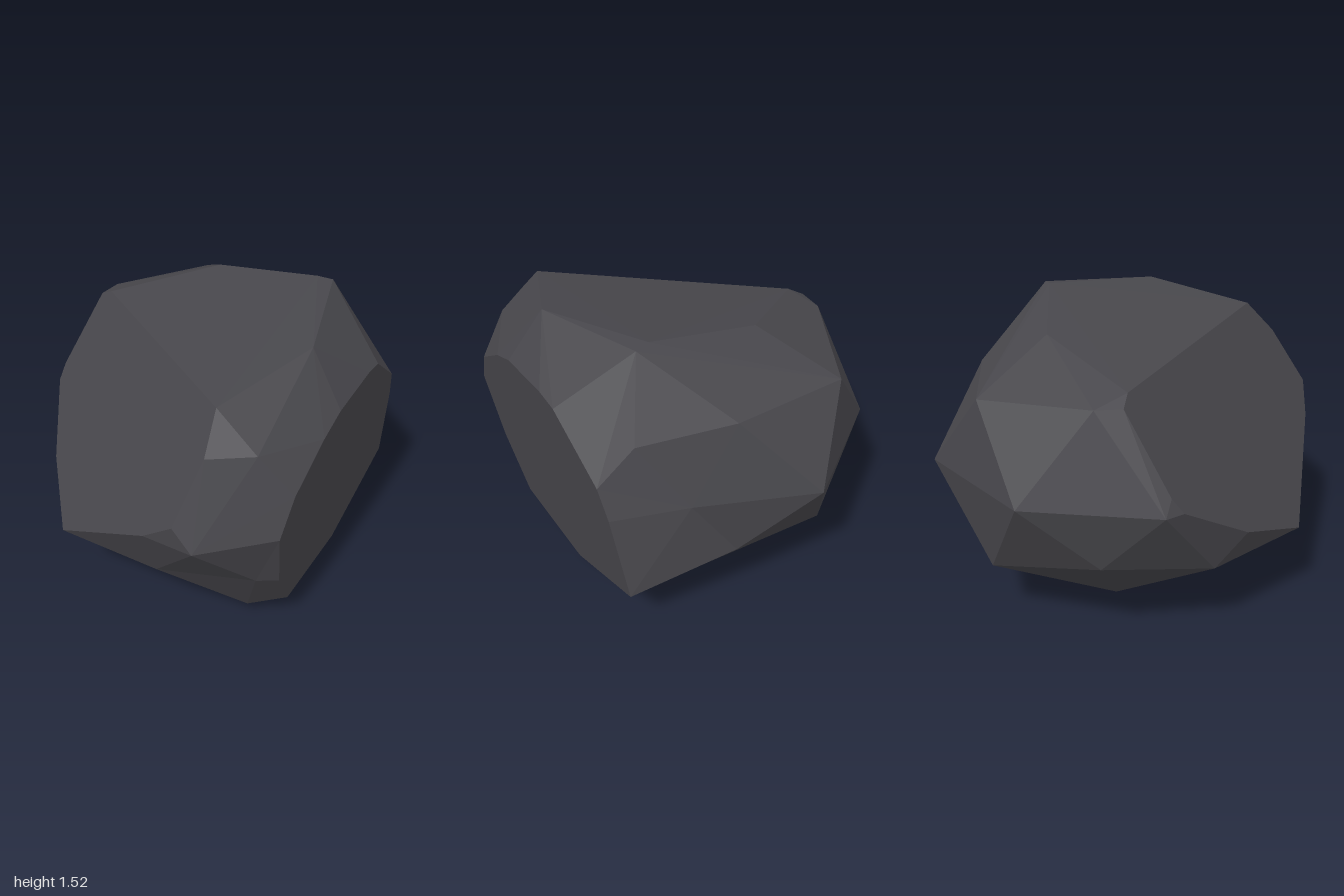
import * as THREE from 'three';
import { ConvexGeometry } from 'three/addons/geometries/ConvexGeometry.js';

const CENTRE = new THREE.Vector3(0, 0.8, 0.11);

export function createModel() {
  const stone = new THREE.MeshStandardMaterial({ color: 0x48474c, flatShading: true });
  stone.name = 'charcoal stone';

  // Broad chipped face at the front: outline in x, y; z follows its plane
  const frontChip = [
    [-0.2, 0.81], [-0.11, 1.0], [0.1, 1.16], [0.23, 1.22], [0.5, 1.24], [0.6, 1.22], [0.85, 0.97],
    [0.89, 0.81], [0.93, 0.36], [0.45, 0.13], [-0.01, 0.17], [-0.14, 0.46],
  ].map(([x, y]) => [x, y, 1 - 0.714 * (x + 0.2) + 0.14 * (y - 0.81)]);

  // Sloped chipped face on the -x side: outline in x, z; y follows its plane
  const sideChip = [
    [-0.62, -0.69], [-0.38, -0.69], [-0.355, -0.61], [-0.36, 0.69], [-0.47, 0.8], [-0.65, 0.85],
    [-0.73, 0.7], [-0.81, 0.45], [-0.94, 0.11], [-0.83, -0.3], [-0.67, -0.66],
  ].map(([x, z]) => [x, 1.375 + (x + 0.36) * 1.554 + (z - 0.69) * 0.058, z]);

  // Remaining corners, ring by ring; a fourth number marks a dent and
  // pushes the corner out while the faces are being joined
  const corners = [
    [0, 0, 0.11],
    [-0.52, 0.14, 0.11], [-0.17, 0.08, 0.65], [0.46, 0.1, -0.21], [-0.17, 0.1, -0.4],
    [-0.25, 0.48, 0.88, 1.08], [-0.62, 0.43, 0.56, 1.03], [-0.72, 0.42, -0.42],
    [-0.31, 0.48, -0.78, 1.06], [0.3, 0.33, -0.8], [0.71, 0.48, -0.37, 1.15],
    [-0.59, 0.81, 0.92], [-0.62, 0.81, -0.74], [0, 0.81, -1], [0.65, 0.81, -0.76],
    [0.78, 0.81, -0.15, 1.12],
    [0.75, 1.13, 0.11, 1.05], [0.64, 1.2, -0.35], [0.31, 1.22, -0.83], [-0.27, 1.26, -0.76],
    [-0.25, 1.2, 0.87],
    [0.55, 1.51, 0.11], [0.49, 1.52, 0.06], [0.17, 1.475, 0.58], [0.19, 1.43, -0.42],
  ];

  const points = [...frontChip, ...sideChip, ...corners].map(([x, y, z, push = 1]) => {
    const place = new THREE.Vector3(x, y, z);
    return { place, hull: place.clone().sub(CENTRE).multiplyScalar(push).add(CENTRE) };
  });

  // Join the corners, then settle the dented ones into place
  const geometry = new ConvexGeometry(points.map((p) => p.hull));
  const position = geometry.attributes.position;
  const v = new THREE.Vector3();
  for (let i = 0; i < position.count; i++) {
    v.fromBufferAttribute(position, i);
    const match = points.find((p) => p.hull.distanceToSquared(v) < 1e-8);
    if (match) position.setXYZ(i, match.place.x, match.place.y, match.place.z);
  }
  geometry.computeVertexNormals();

  const rock = new THREE.Mesh(geometry, stone);
  rock.name = 'rock';
  const group = new THREE.Group();
  group.name = 'boulder';
  group.add(rock);
  return group;
}
